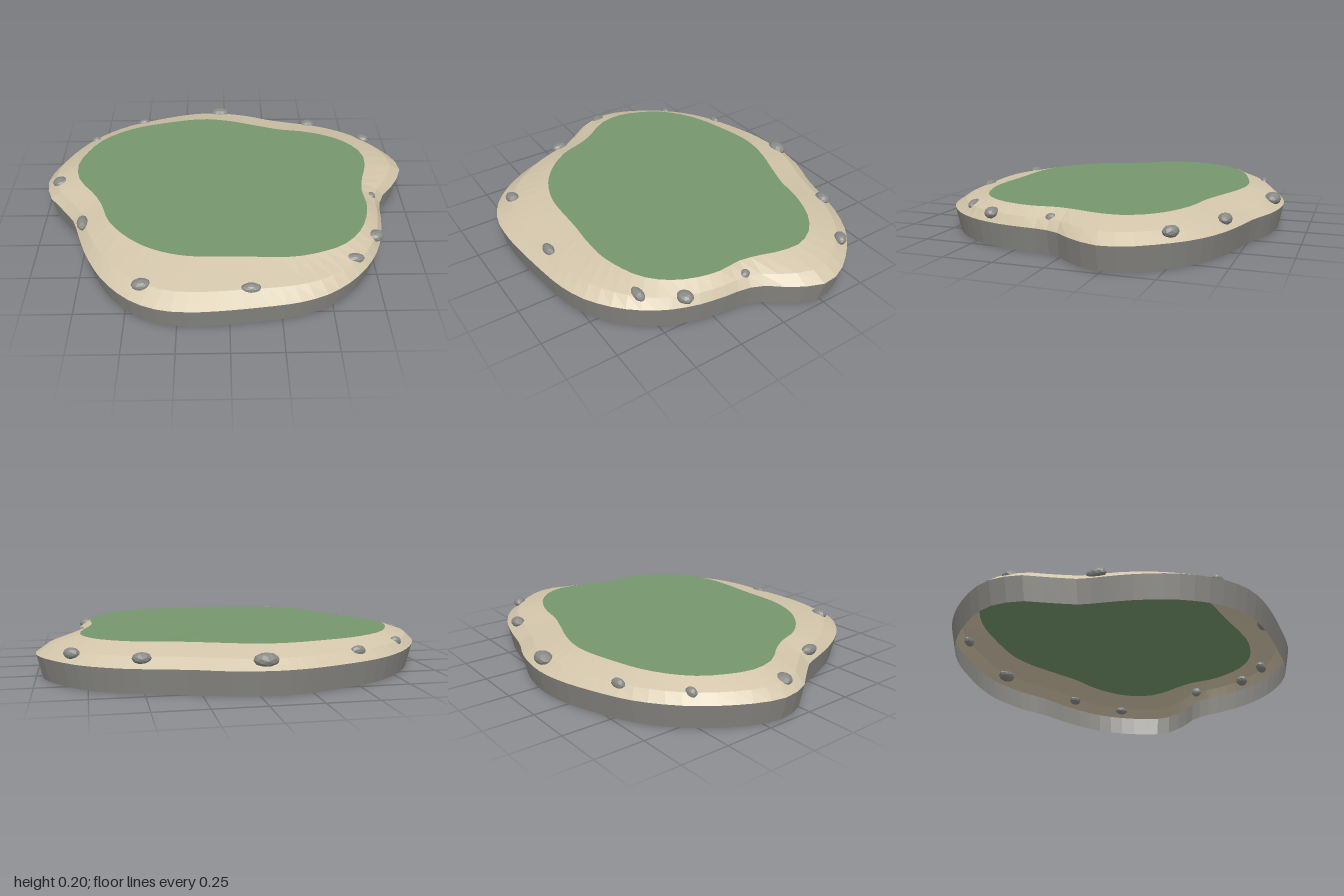
import * as THREE from 'three';

const SEGMENTS = 80;

// Outlines as x, z pairs
const SHORE = [
  -0.06, -0.87, 0.14, -0.84, 0.30, -0.78, 0.46, -0.74, 0.62, -0.69, 0.78, -0.60, 0.91, -0.465, 0.985, -0.34,
  1.0, -0.25, 0.98, -0.18, 0.915, -0.07, 0.845, 0.02, 0.82, 0.11, 0.81, 0.21, 0.785, 0.35, 0.725, 0.50,
  0.62, 0.64, 0.485, 0.745, 0.35, 0.80, 0.14, 0.835, -0.18, 0.86, -0.34, 0.84, -0.475, 0.775, -0.61, 0.64,
  -0.715, 0.455, -0.77, 0.31, -0.81, 0.20, -0.89, 0.09, -0.97, -0.02, -1.0, -0.16, -0.97, -0.28, -0.89, -0.43,
  -0.77, -0.58, -0.61, -0.705, -0.395, -0.80, -0.21, -0.855,
];
const MEADOW = [
  -0.13, -0.675, 0.03, -0.65, 0.19, -0.595, 0.325, -0.55, 0.485, -0.52, 0.62, -0.465, 0.725, -0.38, 0.78, -0.27,
  0.775, -0.16, 0.74, -0.04, 0.72, 0.07, 0.73, 0.16, 0.715, 0.27, 0.66, 0.40, 0.565, 0.50, 0.43, 0.56,
  0.30, 0.585, 0.03, 0.578, -0.21, 0.57, -0.37, 0.52, -0.50, 0.43, -0.61, 0.295, -0.66, 0.16, -0.725, 0.05,
  -0.80, -0.05, -0.83, -0.19, -0.795, -0.32, -0.715, -0.455, -0.555, -0.57, -0.34, -0.64,
];

// Radius of a smooth closed outline at evenly spaced angles
function polarRadii(pairs) {
  const points = [];
  for (let i = 0; i < pairs.length; i += 2) points.push(new THREE.Vector3(pairs[i], 0, pairs[i + 1]));
  const samples = new THREE.CatmullRomCurve3(points, true).getPoints(1500)
    .map((p) => ({ angle: Math.atan2(p.z, p.x), radius: Math.hypot(p.x, p.z) }));
  return Array.from({ length: SEGMENTS }, (_, i) => {
    const angle = (i / SEGMENTS) * Math.PI * 2;
    let best = samples[0], bestGap = Infinity;
    for (const s of samples) {
      const gap = 1 - Math.cos(s.angle - angle);
      if (gap < bestGap) { best = s; bestGap = gap; }
    }
    return best.radius;
  });
}

const ring = (radii, y) => radii.map((r, i) => {
  const a = (i / SEGMENTS) * Math.PI * 2;
  return [r * Math.cos(a), y, r * Math.sin(a)];
});

// Skin between successive rings, ordered from the bottom to the centre
function loft(rings) {
  const positions = [];
  for (let k = 0; k < rings.length - 1; k++) {
    for (let i = 0; i < SEGMENTS; i++) {
      const j = (i + 1) % SEGMENTS;
      const [a, b, c, d] = [rings[k][i], rings[k][j], rings[k + 1][j], rings[k + 1][i]];
      positions.push(...a, ...c, ...b);
      if (c[0] !== d[0] || c[2] !== d[2]) positions.push(...a, ...d, ...c);
    }
  }
  const geometry = new THREE.BufferGeometry();
  geometry.setAttribute('position', new THREE.Float32BufferAttribute(positions, 3));
  geometry.computeVertexNormals();
  return geometry;
}

export function createModel() {
  const group = new THREE.Group();
  group.name = 'island';

  const material = (name, color, side = THREE.DoubleSide) => {
    const m = new THREE.MeshStandardMaterial({ color, side, flatShading: true });
    m.name = name;
    return m;
  };
  const rock = material('rock grey', 0x8a8984);
  const sand = material('sand', 0xd2c5aa);
  const grass = material('grass green', 0x76966c);
  const pebble = material('stone grey', 0x888885, THREE.FrontSide);

  const add = (name, geometry, mat) => {
    const mesh = new THREE.Mesh(geometry, mat);
    mesh.name = name;
    group.add(mesh);
    return mesh;
  };

  const shore = polarRadii(SHORE);
  const meadow = polarRadii(MEADOW);
  const slope = shore.map((r, i) => THREE.MathUtils.lerp(r, meadow[i], 0.3));

  // Open-bottomed rock wall, sloping beach and grass top
  add('rockSkirt', loft([ring(shore.map((r) => r * 0.972), 0), ring(shore, 0.12)]), rock);
  add('beach', loft([ring(shore, 0.12), ring(slope, 0.165), ring(meadow, 0.205)]), sand);
  add('grassTop', loft([ring(meadow, 0.205), ring(meadow.map(() => 0), 0.2)]), grass);

  // Stones along the beach: x, z, half width, half depth, turn
  const stones = [
    [-0.03, -0.82, 0.06, 0.042, 0], [0.51, -0.68, 0.045, 0.034, 0], [0.82, -0.51, 0.042, 0.032, -0.6],
    [-0.5, -0.705, 0.04, 0.022, 0.2], [-0.77, -0.51, 0.032, 0.022, 0.2], [-0.915, -0.095, 0.048, 0.042, -0.4],
    [-0.75, 0.26, 0.03, 0.052, 0.1], [-0.415, 0.715, 0.047, 0.034, 0.1], [0.1, 0.75, 0.05, 0.027, 0],
    [0.61, 0.555, 0.052, 0.028, 0.1], [0.745, 0.385, 0.045, 0.036, 0.3], [0.775, 0.065, 0.025, 0.03, 0],
  ];
  const stoneGeometry = new THREE.IcosahedronGeometry(1, 1);
  stones.forEach(([x, z, w, d, turn], i) => {
    const stone = add(`stone${i + 1}`, stoneGeometry, pebble);
    stone.position.set(x, 0.16, z);
    stone.scale.set(w, i === 0 ? 0.034 : 0.028, d);
    stone.rotation.y = turn;
  });

  return group;
}
